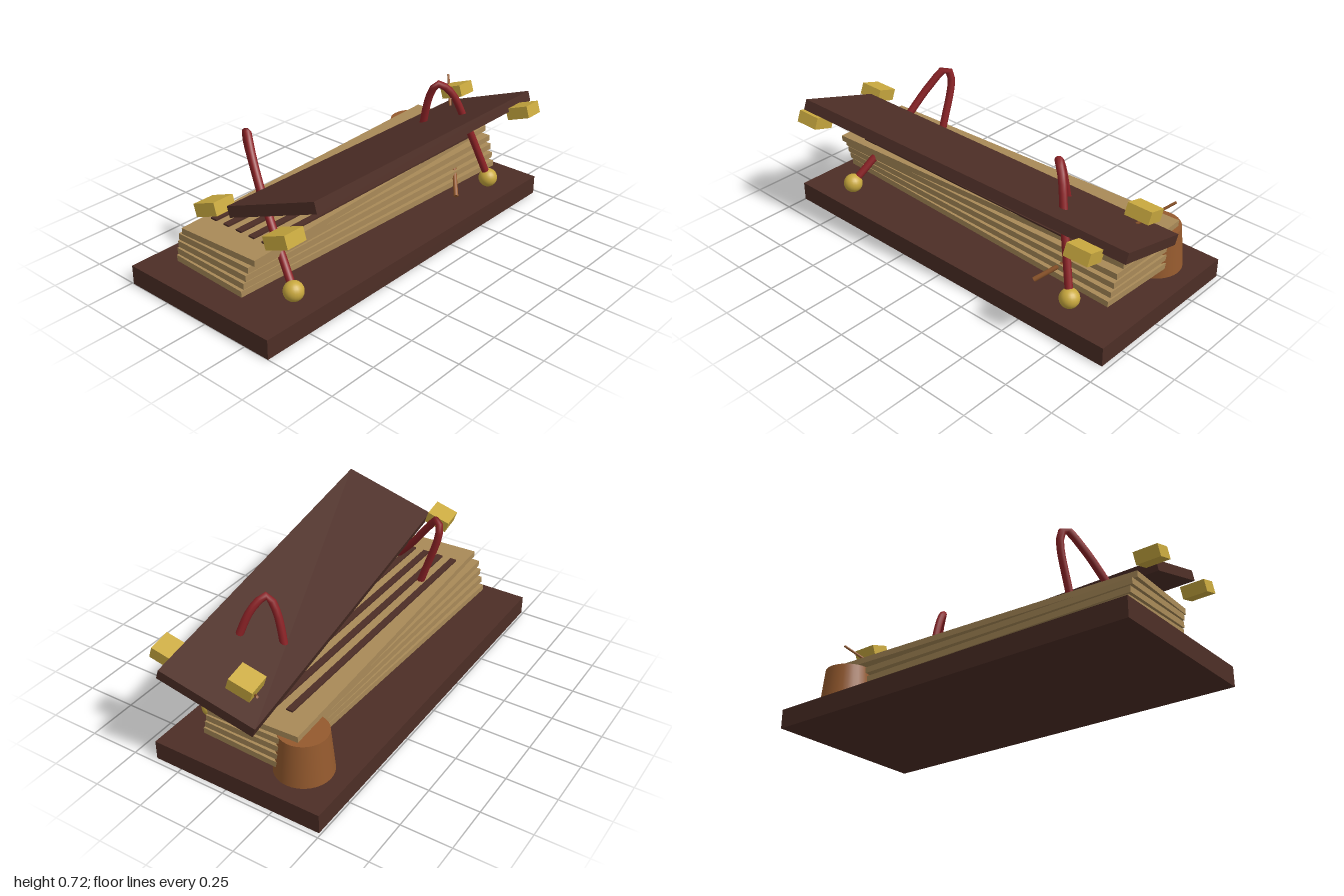
import * as THREE from 'three';

const mat = (name, color) => {
  const m = new THREE.MeshStandardMaterial({ color });
  m.name = name;
  return m;
};
const V = (x, y, z) => new THREE.Vector3(x, y, z);

export function createModel() {
  const model = new THREE.Group();
  const wood = mat('darkWood', 0x4d2e26);
  const paper = mat('tanPaper', 0xa98a58);
  const brass = mat('brass', 0xc9a93f);
  const red = mat('redCord', 0x8c2226);
  const clay = mat('clayBrown', 0x955a2e);
  const add = (name, geometry, material, x = 0, y = 0, z = 0) => {
    const mesh = new THREE.Mesh(geometry, material);
    mesh.name = name;
    mesh.position.set(x, y, z);
    model.add(mesh);
    return mesh;
  };
  const box = (w, h, d) => new THREE.BoxGeometry(w, h, d);

  // Base board
  add('base', box(1.975, 0.097, 0.88), wood, -0.0125, 0.0485, -0.05);

  // Stack of loose slabs, each turned a little
  [-0.04, -0.025, -0.01, 0.005, 0.043].forEach((turn, i) => {
    add('sheet', box(1.755, 0.03, 0.44), paper, -0.015, 0.161 + i * 0.0436, -0.05)
      .rotation.y = turn;
  });

  // Dark lines on the top slab
  for (let i = 0; i < 5; i++) {
    add('line', box(1.49, 0.009, 0.034), wood, -0.015, 0.354, -0.18 + i * 0.08);
  }

  // Tapered pot at the back
  add('pot', new THREE.CylinderGeometry(0.117, 0.138, 0.213, 32), clay, 0.757, 0.2035, -0.27);

  // Tilted lid, oriented from its long edge and its short edge
  const along = V(1.8, -0.14, -0.18).normalize();
  const up = along.clone().cross(V(-0.05, -0.16, -0.455)).normalize();
  const front = along.clone().cross(up);
  const tilt = new THREE.Quaternion().setFromRotationMatrix(
    new THREE.Matrix4().makeBasis(along, up, front));
  add('lid', box(1.814, 0.052, 0.485), wood, 0.075, 0.516, 0.166).quaternion.copy(tilt);

  // Brass corner blocks sharing the lid's tilt
  for (const x of [-0.867, 0.838]) {
    for (const z of [-0.04, 0.375]) {
      add('cornerBlock', box(0.12, 0.06, 0.12), brass, x, 0.518, z).quaternion.copy(tilt);
    }
  }

  // Red cords looping over, each ending in a brass bead
  const cords = [
    [V(-0.73, 0.16, 0.28), V(-0.62, 0.46, 0.0), V(-0.57, 0.61, -0.115), V(-0.52, 0.705, -0.2),
      V(-0.505, 0.655, -0.22), V(-0.5, 0.42, -0.155), V(-0.505, 0.11, -0.05)],
    [V(0.7, 0.16, 0.28), V(0.59, 0.49, 0.2), V(0.53, 0.65, 0.15), V(0.475, 0.7, 0.108),
      V(0.465, 0.64, 0.07), V(0.47, 0.42, 0.018), V(0.48, 0.11, -0.05)],
  ];
  for (const points of cords) {
    add('cord', new THREE.TubeGeometry(new THREE.CatmullRomCurve3(points), 32, 0.019, 10), red);
    const p = points[0];
    add('bead', new THREE.SphereGeometry(0.048, 20, 14), brass, p.x, p.y, p.z);
  }

  // Thin tapered stick piercing the lid
  const low = V(0.47, 0.13, 0.25);
  const dir = V(0.92, 0.545, -0.16).sub(low);
  const mid = low.clone().addScaledVector(dir, 0.5);
  add('stick', new THREE.CylinderGeometry(0.006, 0.012, dir.length(), 10), clay, mid.x, mid.y, mid.z)
    .quaternion.setFromUnitVectors(V(0, 1, 0), dir.clone().normalize());

  return model;
}
